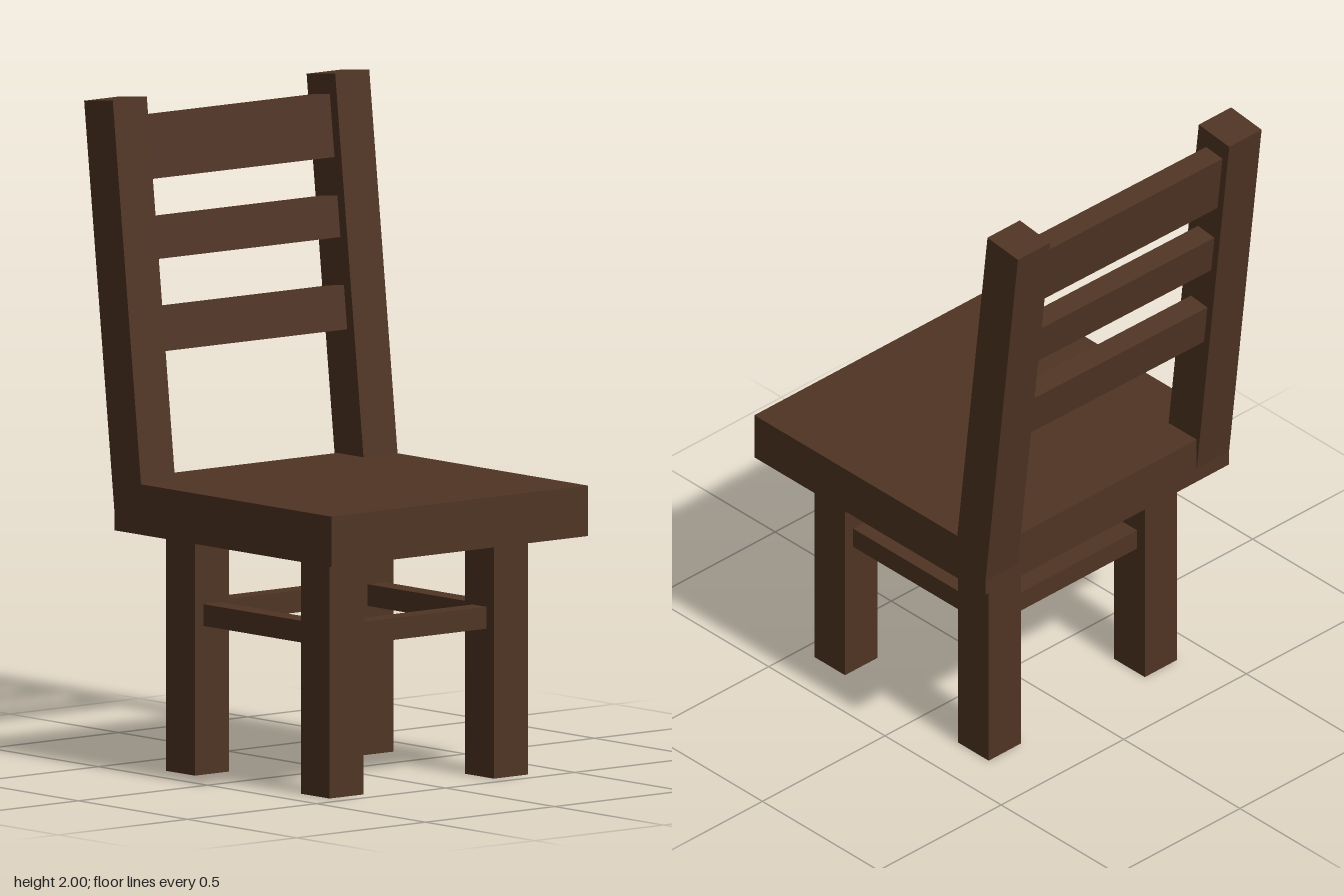
import * as THREE from 'three';

export function createModel() {
  const model = new THREE.Group();
  model.name = 'chair';
  const wood = new THREE.MeshStandardMaterial({ color: 0x4f3423 });
  wood.name = 'dark wood';

  // Box given by its minimum and maximum on each axis
  function box(name, parent, [x0, x1], [y0, y1], [z0, z1]) {
    const mesh = new THREE.Mesh(new THREE.BoxGeometry(x1 - x0, y1 - y0, z1 - z0), wood);
    mesh.position.set((x0 + x1) / 2, (y0 + y1) / 2, (z0 + z1) / 2);
    mesh.name = name;
    parent.add(mesh);
    return mesh;
  }

  // Seat slab
  box('seat', model, [-0.499, 0.495], [0.715, 0.866], [-0.427, 0.567]);

  // Four legs, with stretchers centred between them
  const legX = { right: [-0.402, -0.27], left: [0.235, 0.367] };
  const legZ = { front: [0.312, 0.444], back: [-0.306, -0.174] };
  const railY = [0.445, 0.51];
  const middle = ([a, b]) => [(a + b) / 2 - 0.033, (a + b) / 2 + 0.033];
  for (const side in legX) {
    for (const end in legZ) box(`${end} ${side} leg`, model, legX[side], [0, 0.72], legZ[end]);
    box(`${side} stretcher`, model, middle(legX[side]), railY, [-0.18, 0.32]);
  }
  for (const end in legZ) box(`${end} stretcher`, model, [-0.28, 0.245], railY, middle(legZ[end]));

  // Backrest, leaning back from the seat top
  const back = new THREE.Group();
  back.name = 'backrest';
  back.position.set(0, 0.866, -0.306);
  back.rotation.x = -0.114;
  model.add(back);
  box('right post', back, [-0.499, -0.367], [-0.12, 1.141], [-0.132, 0]);
  box('left post', back, [0.363, 0.495], [-0.12, 1.141], [-0.132, 0]);

  // Three slats, set very slightly askew between the posts
  for (const span of [[0.381, 0.512], [0.655, 0.779], [0.893, 1.081]]) {
    box('back slat', back, [-0.4, 0.396], span, [-0.106, -0.035]).rotation.y = -0.0095;
  }
  return model;
}
